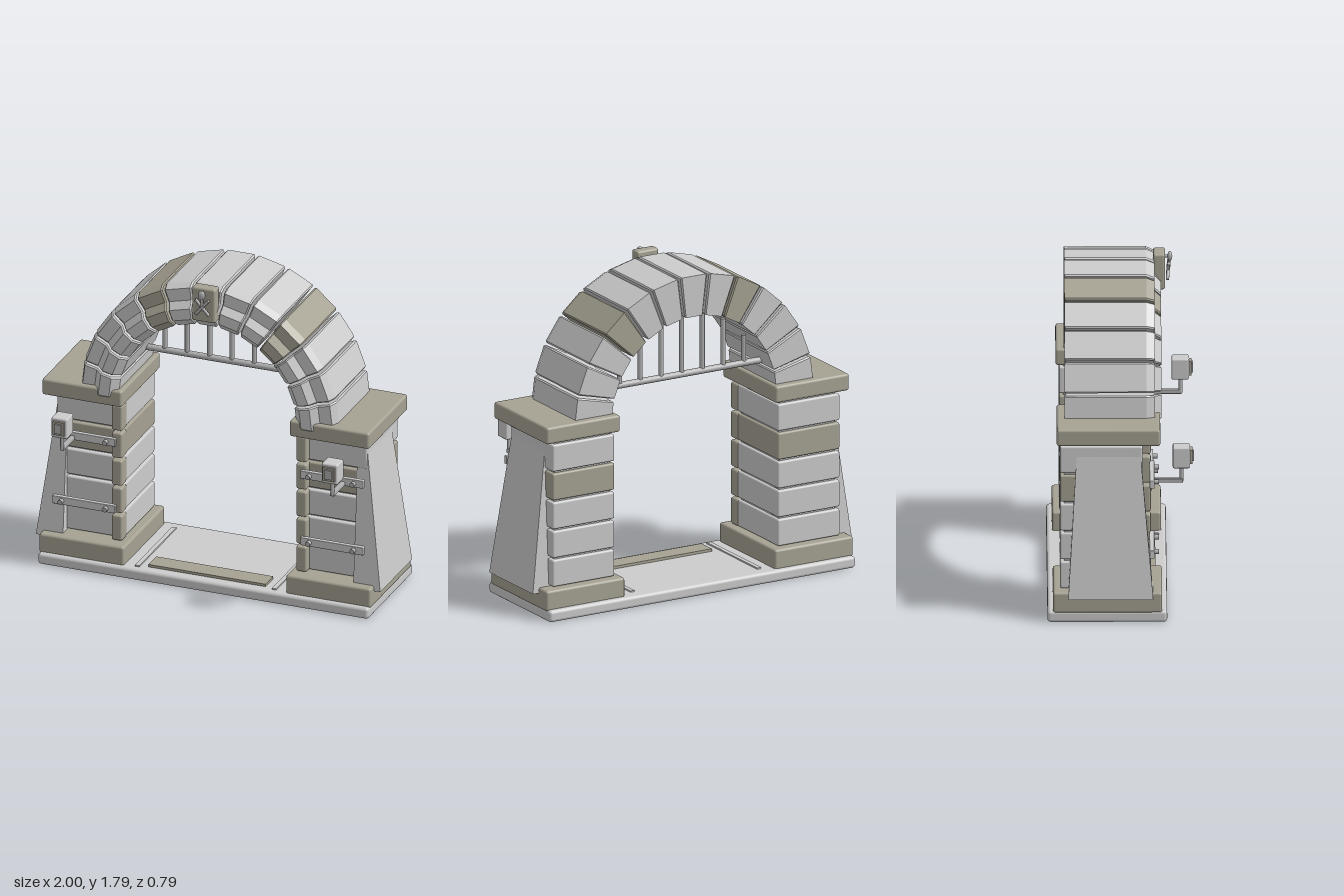
import * as THREE from 'three';
import { RoundedBoxGeometry } from 'three/addons/geometries/RoundedBoxGeometry.js';

const material = (name, color) => {
  const m = new THREE.MeshStandardMaterial({ color });
  m.name = name;
  return m;
};

export function createModel() {
  const model = new THREE.Group();
  model.name = 'stoneArchway';
  const stone = material('paleStone', 0xcccccc);
  const olive = material('oliveStone', 0xa6a293);
  const metal = material('greyMetal', 0xb2b2b2);

  const add = (parent, name, geometry, mat) => {
    const mesh = new THREE.Mesh(geometry, mat);
    mesh.name = name;
    parent.add(mesh);
    return mesh;
  };
  const group = (name) => {
    const g = new THREE.Group();
    g.name = name;
    model.add(g);
    return g;
  };
  // Box given by its limits, with softened edges when r > 0
  const block = (parent, name, mat, [x0, x1], [y0, y1], [z0, z1], r = 0) => {
    const w = Math.abs(x1 - x0), h = y1 - y0, d = z1 - z0;
    const geo = r ? new RoundedBoxGeometry(w, h, d, 2, r) : new THREE.BoxGeometry(w, h, d);
    const mesh = add(parent, name, geo, mat);
    mesh.position.set((x0 + x1) / 2, (y0 + y1) / 2, (z0 + z1) / 2);
    return mesh;
  };
  // Round rod between two points
  const rod = (parent, name, mat, a, b, r) => {
    const p = new THREE.Vector3(...a), q = new THREE.Vector3(...b);
    const mesh = add(parent, name, new THREE.CylinderGeometry(r, r, p.distanceTo(q), 10), mat);
    mesh.position.copy(p).add(q).multiplyScalar(0.5);
    mesh.quaternion.setFromUnitVectors(new THREE.Vector3(0, 1, 0), q.sub(p).normalize());
    return mesh;
  };

  // Floor slab with inlaid strips
  const floor = group('floor');
  block(floor, 'floorSlab', stone, [-0.96, 0.96], [0, 0.065], [-0.395, 0.25], 0.018);
  block(floor, 'thresholdPlate', olive, [-0.34, 0.34], [0.06, 0.08], [0.08, 0.19]);
  for (const s of [-1, 1])
    block(floor, 'floorStrip', stone, [s * 0.385, s * 0.41], [0.06, 0.073], [-0.32, 0.21]);

  // Pillars, mirrored left and right
  for (const s of [-1, 1]) {
    const pillar = group(s > 0 ? 'leftPillar' : 'rightPillar');
    const X = (a, b) => [s * a, s * b];
    block(pillar, 'pillarBase', olive, X(0.47, 0.963), [0.055, 0.17], [-0.365, 0.223], 0.014);
    block(pillar, 'capital', olive, X(0.487, 0.95), [0.99, 1.085], [-0.345, 0.213], 0.014);
    block(pillar, 'pillarCore', stone, X(0.53, 0.88), [0.15, 1.0], [-0.305, 0.09]);

    // Five courses, each with a narrow corner stone at the inner front edge
    for (let i = 0; i < 5; i++) {
      const y = [0.175 + i * 0.1625, 0.325 + i * 0.1625];
      block(pillar, 'courseBlock', i === 3 ? olive : stone, X(0.512, 0.9), y, [-0.327, 0.117], 0.01);
      block(pillar, 'cornerStone', olive, X(0.505, 0.566), y, [0.09, 0.163], 0.012);
    }

    // Outer buttress, tapering upward
    const geo = new THREE.BoxGeometry(1, 1, 1);
    const p = geo.attributes.position;
    for (let i = 0; i < p.count; i++) {
      const top = p.getY(i) > 0, outer = p.getX(i) * s > 0, front = p.getZ(i) > 0;
      p.setXYZ(i,
        s * (outer ? (top ? 0.893 : 1.0) : 0.843),
        top ? 0.97 : 0.14,
        front ? (top ? 0.103 : 0.175) : (top ? -0.235 : -0.283));
    }
    geo.computeVertexNormals();
    add(pillar, 'buttress', geo, stone);

    // Bolted straps
    for (const y of [0.76, 0.365]) {
      block(pillar, 'strap', stone, X(0.538, 0.903), [y - 0.023, y + 0.023], [0.155, 0.182], 0.004);
      for (const x of [0.59, 0.848])
        rod(pillar, 'bolt', metal, [s * x, y, 0.17], [s * x, y, 0.206], 0.014);
    }

    // Lamp on a bent bracket
    const lx = 0.785;
    block(pillar, 'bracketArm', metal, X(lx - 0.012, lx + 0.012), [0.738, 0.762], [0.17, 0.335], 0.004);
    rod(pillar, 'bracketPost', metal, [s * lx, 0.745, 0.328], [s * lx, 0.84, 0.328], 0.011);
    block(pillar, 'lampBox', stone, X(lx - 0.046, lx + 0.046), [0.828, 0.945], [0.28, 0.374], 0.009);
    const bars = [[-0.033, -0.021, 0.85, 0.928], [0.021, 0.033, 0.85, 0.928],
      [-0.033, 0.033, 0.85, 0.862], [-0.033, 0.033, 0.883, 0.895], [-0.033, 0.033, 0.916, 0.928]];
    for (const [a, b, c, d] of bars)
      block(pillar, 'lampFrame', olive, X(lx + a, lx + b), [c, d], [0.37, 0.387]);
    block(pillar, 'lampLens', metal, X(lx - 0.02, lx + 0.02), [0.862, 0.916], [0.37, 0.395]);
  }

  // Arch: thirteen wedge stones sharing one section (radius, depth)
  const arch = group('arch');
  const centreY = 1.035, count = 13, step = Math.PI / count;
  const section = new THREE.Shape([
    [0.515, -0.302], [0.745, -0.302], [0.745, 0.14], [0.725, 0.185],
    [0.655, 0.185], [0.617, 0.22], [0.556, 0.22], [0.515, 0.18],
  ].map(([r, z]) => new THREE.Vector2(r, z)));
  for (let i = -6; i <= 6; i++) {
    const geo = new THREE.ExtrudeGeometry(section, {
      depth: 1.8, bevelThickness: 0.1, bevelSize: 0.007, bevelOffset: -0.007, bevelSegments: 1,
    });
    const p = geo.attributes.position;
    const a = i * step, sin = Math.sin(a), cos = Math.cos(a);
    for (let k = 0; k < p.count; k++) {
      const r = p.getX(k), z = p.getY(k);
      const t = (p.getZ(k) - 0.9) * (r * Math.tan(step / 2) - 0.007);
      p.setXYZ(k, r * sin + t * cos, centreY + r * cos - t * sin, z);
    }
    geo.computeVertexNormals();
    add(arch, 'archStone', geo, i === -2 || i === 3 ? olive : stone);
  }

  // Keystone plate with crossed-rod emblem
  const keystone = group('keystone');
  block(keystone, 'keystonePlate', olive, [-0.067, 0.067], [1.595, 1.795], [0.178, 0.242], 0.012);
  for (const s of [-1, 1])
    rod(keystone, 'crossedRod', metal, [-s * 0.038, 1.645, 0.255], [s * 0.038, 1.735, 0.262], 0.009);
  const knob = add(keystone, 'emblemKnob', new THREE.SphereGeometry(0.022, 12, 8), metal);
  knob.scale.set(1, 1.25, 0.6);
  knob.position.set(0, 1.765, 0.268);
  rod(keystone, 'emblemStem', metal, [0, 1.7, 0.262], [0, 1.75, 0.266], 0.008);
  rod(keystone, 'emblemPin', metal, [0, 1.765, 0.235], [0, 1.765, 0.265], 0.009);

  // Raised grille: cross bar and uprights reaching to the arch
  const grille = group('grille');
  rod(grille, 'crossBar', metal, [-0.5, 1.19, -0.17], [0.5, 1.19, -0.17], 0.018);
  for (let i = -3; i <= 3; i++) {
    const x = i * 0.13;
    rod(grille, 'upright', metal, [x, 1.18, -0.17], [x, centreY + Math.sqrt(0.25 - x * x), -0.17], 0.014);
  }
  return model;
}
